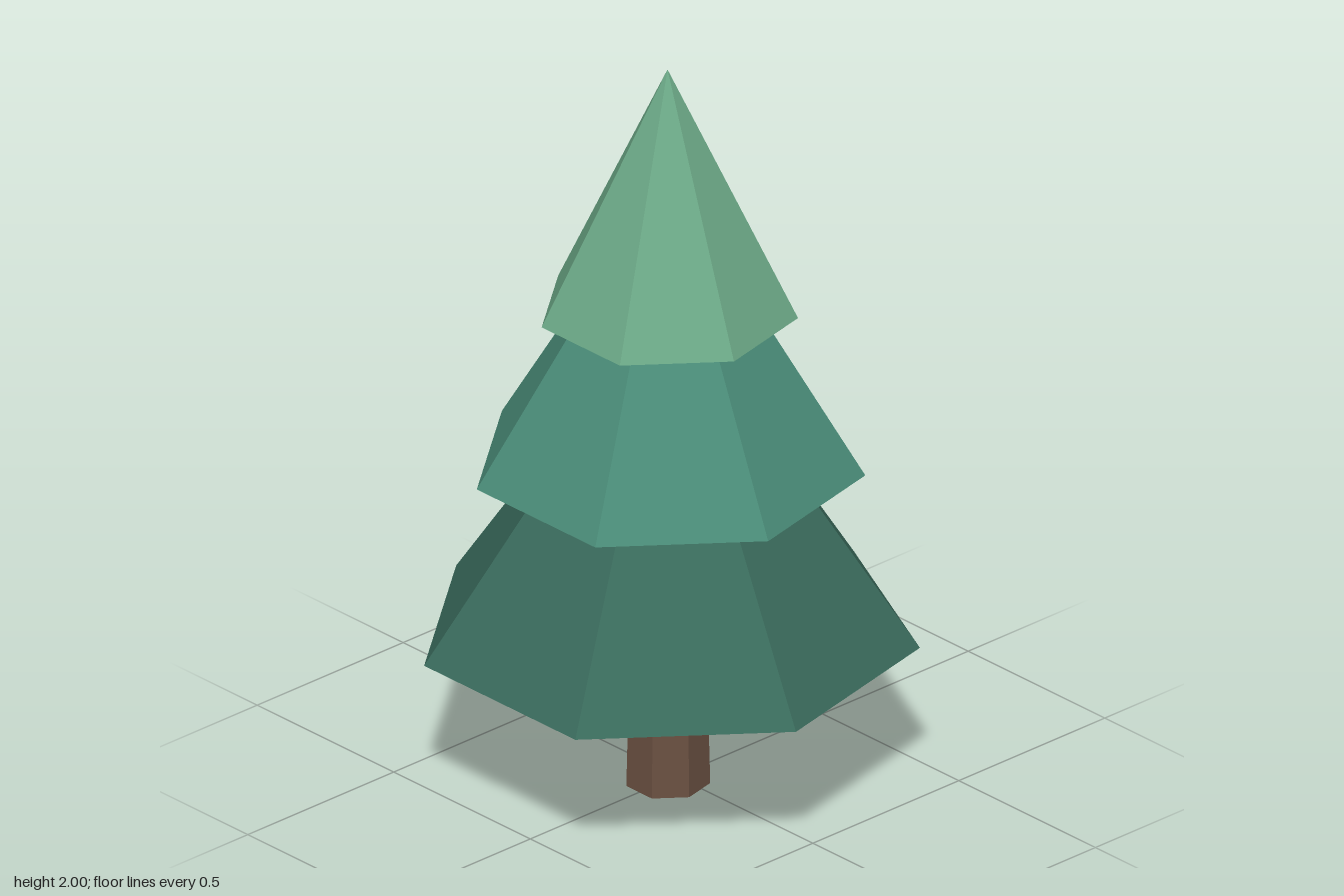
import * as THREE from 'three';

const SIDES = 7;

export function createModel() {
  const tree = new THREE.Group();
  tree.name = 'pineTree';

  // Seven-sided tapered part with a corner pointing backwards
  function addPart(name, topRadius, bottomRadius, bottom, top, color) {
    const height = top - bottom;
    const geometry = topRadius > 0
      ? new THREE.CylinderGeometry(topRadius, bottomRadius, height, SIDES)
      : new THREE.ConeGeometry(bottomRadius, height, SIDES);
    geometry.rotateY(Math.PI);
    const mesh = new THREE.Mesh(
      geometry,
      new THREE.MeshStandardMaterial({ color, flatShading: true })
    );
    mesh.name = name;
    mesh.position.set(0, bottom + height / 2, 0.03);
    tree.add(mesh);
  }

  // Trunk, running slightly up into the lowest tier
  addPart('trunk', 0.096, 0.108, 0, 0.5, 0x6b5142);

  // Overlapping foliage cones, from the ground up
  addPart('lowerFoliage', 0, 0.638, 0.42, 1.36, 0x3a6b5c);
  addPart('middleFoliage', 0, 0.5, 0.895, 1.715, 0x4a8c78);
  addPart('upperFoliage', 0, 0.33, 1.325, 2, 0x6ca987);

  return tree;
}
